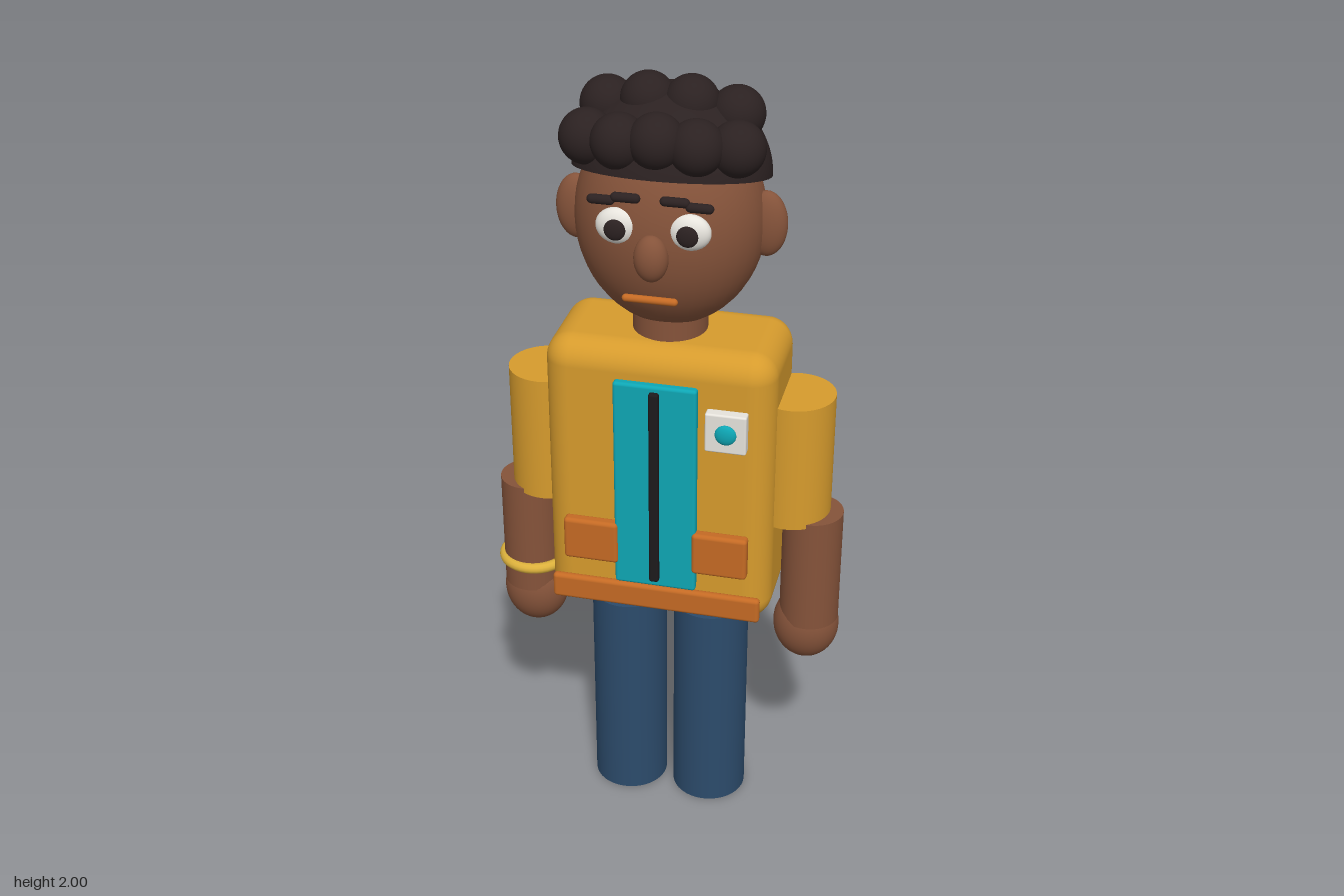
import * as THREE from 'three';
import { RoundedBoxGeometry } from 'three/addons/geometries/RoundedBoxGeometry.js';

const flat = (name, color) => {
  const m = new THREE.MeshStandardMaterial({ color });
  m.name = name;
  return m;
};

export function createModel() {
  const skin = flat('skin', 0x85533a);
  const hair = flat('hair', 0x2b2121);
  const jacket = flat('jacket', 0xd69b2d);
  const denim = flat('denim', 0x2c4b6b);
  const teal = flat('teal', 0x0ea6b4);
  const orange = flat('orange', 0xc46a24);
  const white = flat('white', 0xe6e3dc);
  const gold = flat('gold', 0xdcb13c);
  const black = flat('black', 0x1d1a1c);

  const model = new THREE.Group();
  model.name = 'person';

  const add = (name, geometry, material, x, y, z) => {
    const mesh = new THREE.Mesh(geometry, material);
    mesh.name = name;
    mesh.position.set(x, y, z);
    model.add(mesh);
    return mesh;
  };
  const ball = (name, material, x, y, z, rx, ry = rx, rz = rx) =>
    add(name, new THREE.SphereGeometry(1, 40, 28).scale(rx, ry, rz), material, x, y, z);
  const tube = (name, material, x, z, r, y0, y1) =>
    add(name, new THREE.CylinderGeometry(r, r, y1 - y0, 40), material, x, (y0 + y1) / 2, z);
  const box = (name, material, x, y, z, w, h, d, r) =>
    add(name, new RoundedBoxGeometry(w, h, d, 5, r), material, x, y, z);
  const bar = (name, material, x, y, z, length, r) =>
    add(name, new THREE.CapsuleGeometry(r, length - 2 * r, 6, 16).rotateZ(Math.PI / 2), material, x, y, z);

  const cz = -0.01; // depth centre of the body

  // Torso and neck
  box('torso', jacket, 0, 1.003, cz, 0.564, 0.745, 0.3, 0.065);
  tube('neck', skin, 0, cz, 0.09, 1.33, 1.47);

  // Limbs, mirrored
  for (const [side, s] of [['left', 1], ['right', -1]]) {
    tube(side + 'Leg', denim, s * 0.109, cz, 0.097, 0, 0.6);
    tube(side + 'Sleeve', jacket, s * 0.31, cz, 0.097, 0.9, 1.232);
    tube(side + 'Forearm', skin, s * 0.366, -0.002, 0.075, 0.6, 0.912);
    ball(side + 'Hand', skin, s * 0.36, 0.575, -0.002, 0.084, 0.1, 0.075);
  }
  add('bracelet', new THREE.TorusGeometry(0.08, 0.014, 12, 40).rotateX(Math.PI / 2), gold, -0.361, 0.673, -0.004);

  // Jacket front: panel, zip, pockets, hem and badge
  box('frontPanel', teal, 0, 1.012, 0.146, 0.204, 0.565, 0.026, 0.008);
  box('zip', black, 0, 1.015, 0.162, 0.024, 0.53, 0.02, 0.006);
  for (const s of [1, -1])
    box(s > 0 ? 'leftPocket' : 'rightPocket', orange, s * 0.162, 0.843, 0.15, 0.138, 0.115, 0.032, 0.01);
  box('hemBand', orange, 0, 0.693, 0.15, 0.53, 0.068, 0.022, 0.01);
  box('badge', white, 0.174, 1.194, 0.154, 0.1, 0.102, 0.03, 0.005);
  ball('badgeButton', teal, 0.175, 1.194, 0.17, 0.026, 0.026, 0.011);

  // Head and face
  ball('head', skin, 0, 1.66, cz, 0.225, 0.265, 0.19);
  for (const [side, s] of [['left', 1], ['right', -1]]) {
    ball(side + 'Ear', skin, s * 0.225, 1.66, cz, 0.05, 0.08, 0.031);
    ball(side + 'Eye', white, s * 0.083, 1.695, 0.158, 0.05, 0.043, 0.026);
    ball(side + 'Pupil', hair, s * 0.083, 1.693, 0.181, 0.025, 0.025, 0.01);
    bar(side + 'BrowInner', hair, s * 0.056, 1.775, 0.186, 0.068, 0.011);
    bar(side + 'BrowOuter', hair, s * 0.112, 1.766, 0.186, 0.064, 0.011);
  }
  ball('nose', skin, 0, 1.632, 0.18, 0.04, 0.056, 0.034);
  bar('mouth', orange, 0, 1.536, 0.193, 0.13, 0.009);

  // Hair: a tilted dome, closed underneath, with two rows of curls
  const dome = new THREE.SphereGeometry(1, 48, 24, 0, Math.PI * 2, 0, Math.PI / 2).scale(0.232, 0.2, 0.197);
  add('hairCap', dome, hair, 0, 1.768, -0.02).rotation.x = -0.23;
  const base = new THREE.CircleGeometry(1, 48).rotateX(Math.PI / 2).scale(0.232, 1, 0.197);
  add('hairCapBase', base, hair, 0, 1.768, -0.02).rotation.x = -0.23;
  const curls = [
    [0, 1.888, 0.126], [0.088, 1.878, 0.118], [0.172, 1.868, 0.078],
    [0.05, 1.936, -0.003], [0.15, 1.912, -0.024],
  ];
  for (const [x, y, z] of curls)
    for (const s of x ? [1, -1] : [1]) ball('curl', hair, s * x, y, z, 0.064);

  model.position.x = 0.003;
  const group = new THREE.Group();
  group.add(model);
  return group;
}
